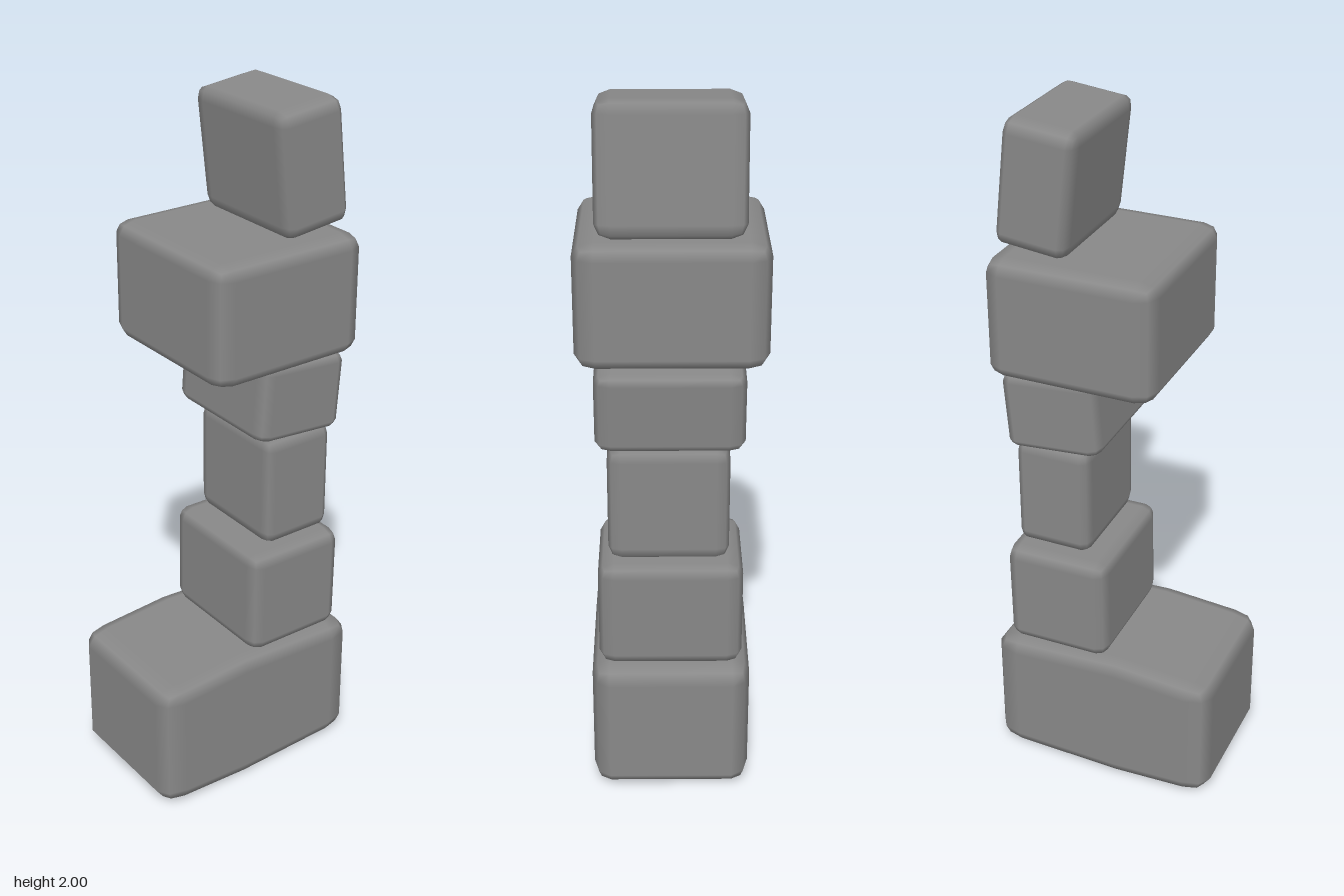
import * as THREE from 'three';

const BEVEL = 0.11; // bevel radius as a share of each side

// Unit cube with two-step bevels and a middle loop, stretched to size.
// bulge = { x, top, bottom } shifts the middle loop and swells it up and down.
function stoneGeometry(w, h, d, bulge) {
  const geo = new THREE.BoxGeometry(4, 4, 4, 4, 4, 4);
  const pos = geo.attributes.position;
  const nor = geo.attributes.normal;
  const core = (c) => (c === 0 ? 0 : Math.sign(c) * (0.5 - BEVEL));
  const out = (c) => (Math.abs(c) === 2 ? Math.sign(c) : 0);
  const p = new THREE.Vector3();
  const n = new THREE.Vector3();
  for (let i = 0; i < pos.count; i++) {
    p.fromBufferAttribute(pos, i).round();
    const middle = p.x === 0;
    n.set(out(p.x), out(p.y), out(p.z)).normalize();
    p.set(core(p.x), core(p.y), core(p.z)).addScaledVector(n, BEVEL);
    if (bulge && middle) {
      p.x += bulge.x / w;
      if (p.y > 0.2) p.y += bulge.top / h;
      if (p.y < -0.2) p.y -= bulge.bottom / h;
    }
    pos.setXYZ(i, p.x, p.y, p.z);
    nor.setXYZ(i, n.x, n.y, n.z);
  }
  geo.scale(w, h, d);
  return geo;
}

// Stones from the ground up: size, centre, lean in degrees
const STONES = [
  { name: 'baseStone', size: [0.685, 0.395, 0.445], at: [-0.002, 0.207, 0.003], lean: 0,
    bulge: { x: -0.05, top: 0.016, bottom: 0.01 } },
  { name: 'secondStone', size: [0.312, 0.318, 0.4], at: [0.143, 0.564, 0.004], lean: -0.6 },
  { name: 'thirdStone', size: [0.222, 0.335, 0.33], at: [0.164, 0.9, 0.009], lean: 0 },
  { name: 'fourthStone', size: [0.28, 0.226, 0.4], at: [0.149, 1.185, 0.005], lean: -4.5 },
  { name: 'wideStone', size: [0.482, 0.338, 0.506], at: [0.065, 1.473, 0], lean: 0 },
  { name: 'topStone', size: [0.203, 0.345, 0.383], at: [0.178, 1.82, 0.003], lean: 6.5 },
];

export function createModel() {
  const group = new THREE.Group();
  group.name = 'stackedStones';
  const stoneGrey = new THREE.MeshStandardMaterial({ color: 0x888888 });
  stoneGrey.name = 'stoneGrey';

  for (const { name, size, at, lean, bulge } of STONES) {
    const stone = new THREE.Mesh(stoneGeometry(...size, bulge), stoneGrey);
    stone.name = name;
    stone.position.set(...at);
    stone.rotation.z = THREE.MathUtils.degToRad(lean);
    group.add(stone);
  }
  return group;
}
